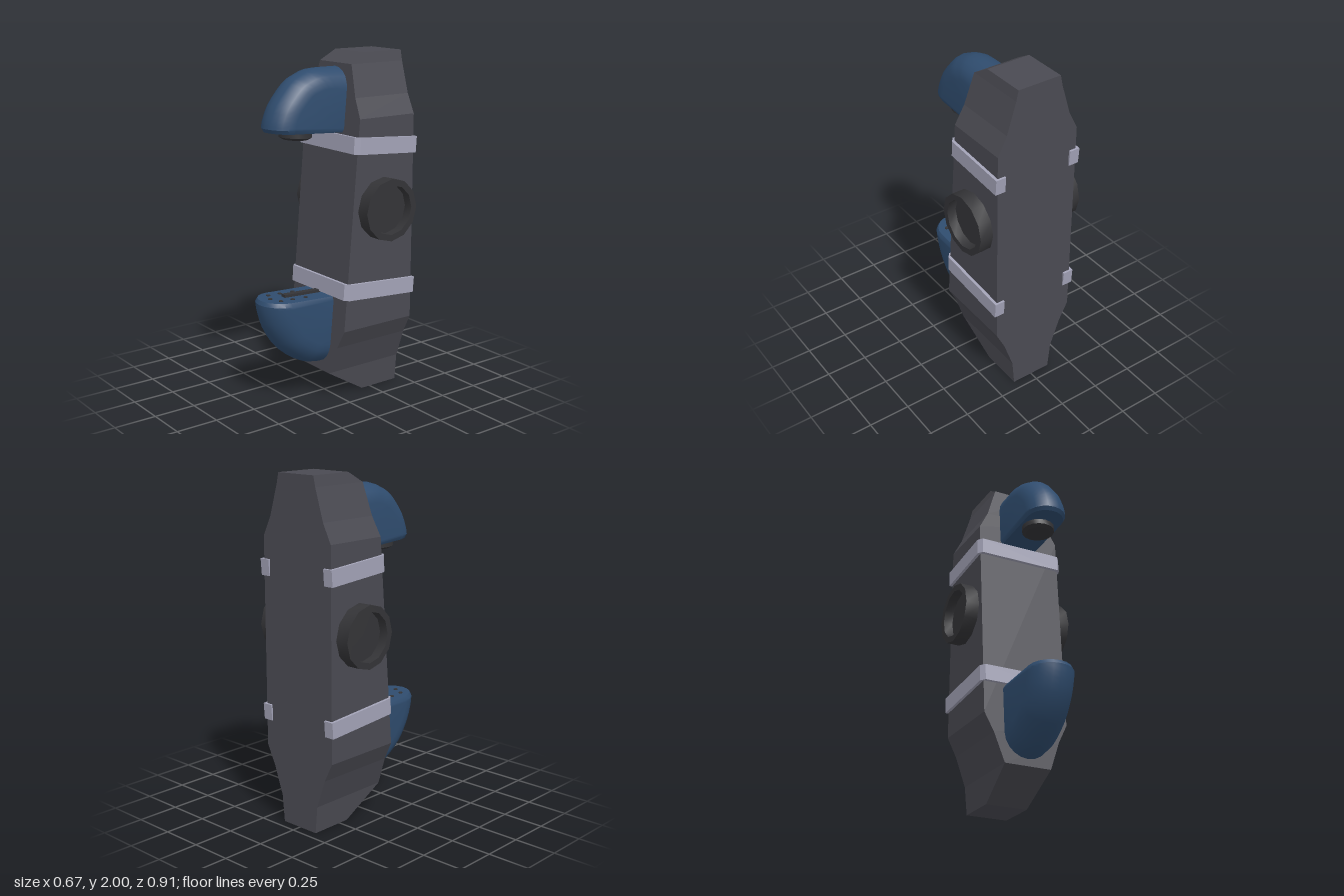
import * as THREE from 'three';
import { toCreasedNormals } from 'three/addons/utils/BufferGeometryUtils.js';

const mat = (color, extra = {}) => new THREE.MeshStandardMaterial({ color, ...extra });
const bodyMat = mat(0x4a4a52, { flatShading: true });
const darkMat = mat(0x343437);
const blueMat = mat(0x2f4c6e);
const strapMat = mat(0xa2a2b6, { flatShading: true });

function add(parent, name, geometry, material) {
  const mesh = new THREE.Mesh(geometry, material);
  mesh.name = name;
  parent.add(mesh);
  return mesh;
}

function fromTriangles(triangles) {
  const geometry = new THREE.BufferGeometry();
  geometry.setAttribute('position', new THREE.Float32BufferAttribute(triangles.flat(2), 3));
  return geometry;
}

// Tapered body: rectangular sections [y, half width, front z] with a flat back
function bodyGeometry() {
  const back = -0.445;
  const front = y => 0.07 - (y - 0.16) * 0.0843;
  const rings = [
    [0, 0.125, -0.19], [0.16, 0.14, front(0.16)], [0.33, 0.2, front(0.33)], [0.44, 0.255, front(0.44)],
    [1.65, 0.255, front(1.65)], [1.76, 0.2, front(1.76)], [1.94, 0.145, front(1.94)], [2, 0.132, -0.18],
  ].map(([y, w, f]) => [[-w, y, f], [w, y, f], [w, y, back], [-w, y, back]]);
  const tris = [];
  for (let i = 0; i < rings.length - 1; i++) {
    for (let j = 0; j < 4; j++) {
      const k = (j + 1) % 4, a = rings[i], b = rings[i + 1];
      tris.push([a[j], a[k], b[k]], [a[j], b[k], b[j]]);
    }
  }
  const top = rings[rings.length - 1], bottom = rings[0];
  tris.push([top[0], top[1], top[2]], [top[0], top[2], top[3]]);
  tris.push([bottom[0], bottom[2], bottom[1]], [bottom[0], bottom[3], bottom[2]]);
  const geometry = fromTriangles(tris);
  geometry.computeVertexNormals();
  return geometry;
}

// Rounded jaw: U-shaped sections fanned about a pivot, ending in a chamfered flat plate.
// side is +1 when the dome is on top, -1 when it is below. Points are [z, y].
function jawGeometry(pivot, profile, w, side) {
  const section = ([oz, oy], [pz, py], half) => {
    const length = Math.hypot(pz - oz, py - oy);
    const uz = (pz - oz) / length, uy = (py - oy) / length;
    const at = (x, d) => [x, oy + uy * d, oz + uz * d];
    const pts = [at(-half, 0)];
    for (let i = 0; i <= 10; i++) {
      const a = Math.PI * i / 10;
      pts.push(at(-half * Math.cos(a), length - half + half * Math.sin(a)));
    }
    pts.push(at(half, 0));
    return pts;
  };
  const curve = new THREE.SplineCurve(profile.map(p => new THREE.Vector2(...p)));
  const sections = curve.getPoints(16).map(p => section(pivot, [p.x, p.y], w));
  const tip = profile[profile.length - 1];
  const drop = -0.022 * side;
  const capCentre = [pivot[0], pivot[1] + drop];
  sections.push(section(capCentre, [tip[0] - 0.012, tip[1] + drop], w - 0.012));

  const tris = [];
  const push = (a, b, c) => tris.push(side > 0 ? [a, b, c] : [a, c, b]);
  for (let i = 0; i < sections.length - 1; i++) {
    const s = sections[i], t = sections[i + 1];
    for (let j = 0; j < s.length - 1; j++) {
      push(s[j], t[j], s[j + 1]);
      push(s[j + 1], t[j], t[j + 1]);
    }
  }
  const last = sections[sections.length - 1];
  const centre = [0, capCentre[1], capCentre[0]];
  for (let j = 0; j < last.length - 1; j++) push(centre, last[j + 1], last[j]);
  return toCreasedNormals(fromTriangles(tris), 0.55);
}

// Strap round the front and sides, with short lips hooked over the back
function strapGeometry(frontZ) {
  const back = -0.455 - frontZ;
  const half = [
    [0.21, back], [0.272, back], [0.272, -0.028], [0.25, 0], // outer edge
  ];
  const inner = [[0.24, -0.02], [0.254, -0.036], [0.254, back + 0.012], [0.21, back + 0.012]];
  const flip = pts => pts.map(([x, z]) => [-x, z]).reverse();
  const outline = [...half, ...flip(half), ...flip(inner), ...inner];
  const shape = new THREE.Shape(outline.map(p => new THREE.Vector2(...p)));
  const height = 0.094;
  return new THREE.ExtrudeGeometry(shape, { depth: height, bevelEnabled: false })
    .rotateX(Math.PI / 2).translate(0, height / 2, 0);
}

export function createModel() {
  const model = new THREE.Group();
  model.name = 'clampDevice';
  add(model, 'body', bodyGeometry(), bodyMat);

  // Two tilted straps
  for (const [name, y, z] of [['upperStrap', 1.505, -0.02], ['lowerStrap', 0.675, 0.046]]) {
    const strap = add(model, name, strapGeometry(z), strapMat);
    strap.position.set(0, y, z);
    strap.rotation.x = -0.072;
  }

  // Twelve-sided hollow side knobs
  const knobProfile = [[0.18, 0.24], [0.18, 0.335], [0.143, 0.335], [0.143, 0.28], [0, 0.28]]
    .map(p => new THREE.Vector2(...p));
  const knob = toCreasedNormals(
    new THREE.LatheGeometry(knobProfile, 12).rotateZ(-Math.PI / 2).toNonIndexed(), 0.6);
  for (const side of [1, -1]) {
    const mesh = add(model, side > 0 ? 'leftKnob' : 'rightKnob', knob, darkMat);
    mesh.position.set(0, 1.13, -0.227);
    if (side < 0) mesh.rotation.y = Math.PI;
  }

  // Upper jaw with a chamfered pad underneath
  const upper = new THREE.Group();
  upper.name = 'upperJaw';
  model.add(upper);
  add(upper, 'upperJawShell', jawGeometry([-0.09, 1.58],
    [[-0.085, 1.92], [0.1, 1.918], [0.19, 1.89], [0.26, 1.85], [0.35, 1.745], [0.39, 1.66], [0.402, 1.608]],
    0.12, 1), blueMat);
  const pad = add(upper, 'upperPad', toCreasedNormals(
    new THREE.LatheGeometry([[0, -0.025], [0.072, -0.025], [0.094, -0.012], [0.094, 0.025]]
      .map(p => new THREE.Vector2(...p)), 16).toNonIndexed(), 0.5), darkMat);
  pad.position.set(0, 1.558, 0.2);
  pad.rotation.x = -0.055;

  // Lower jaw with a raised rail and small studs on its plate
  const lower = new THREE.Group();
  lower.name = 'lowerJaw';
  model.add(lower);
  add(lower, 'lowerJawShell', jawGeometry([0.02, 0.597],
    [[0.045, 0.2], [0.1, 0.207], [0.19, 0.23], [0.325, 0.325], [0.41, 0.45], [0.445, 0.55], [0.455, 0.618]],
    0.136, -1), blueMat);
  const plate = new THREE.Group();
  plate.name = 'lowerPlateDetails';
  plate.position.set(0, 0.631, 0.24);
  plate.rotation.x = -0.05;
  lower.add(plate);
  add(plate, 'rail', new THREE.BoxGeometry(0.036, 0.026, 0.25), darkMat).position.set(0, 0.002, -0.075);
  const stud = new THREE.CylinderGeometry(0.013, 0.013, 0.006, 8);
  for (const x of [-0.065, 0.065]) {
    for (const z of [-0.06, 0.03, 0.11]) add(plate, 'stud', stud, darkMat).position.set(x, 0, z);
  }
  add(plate, 'stud', stud, darkMat).position.set(0, 0, 0.14);

  return model;
}
